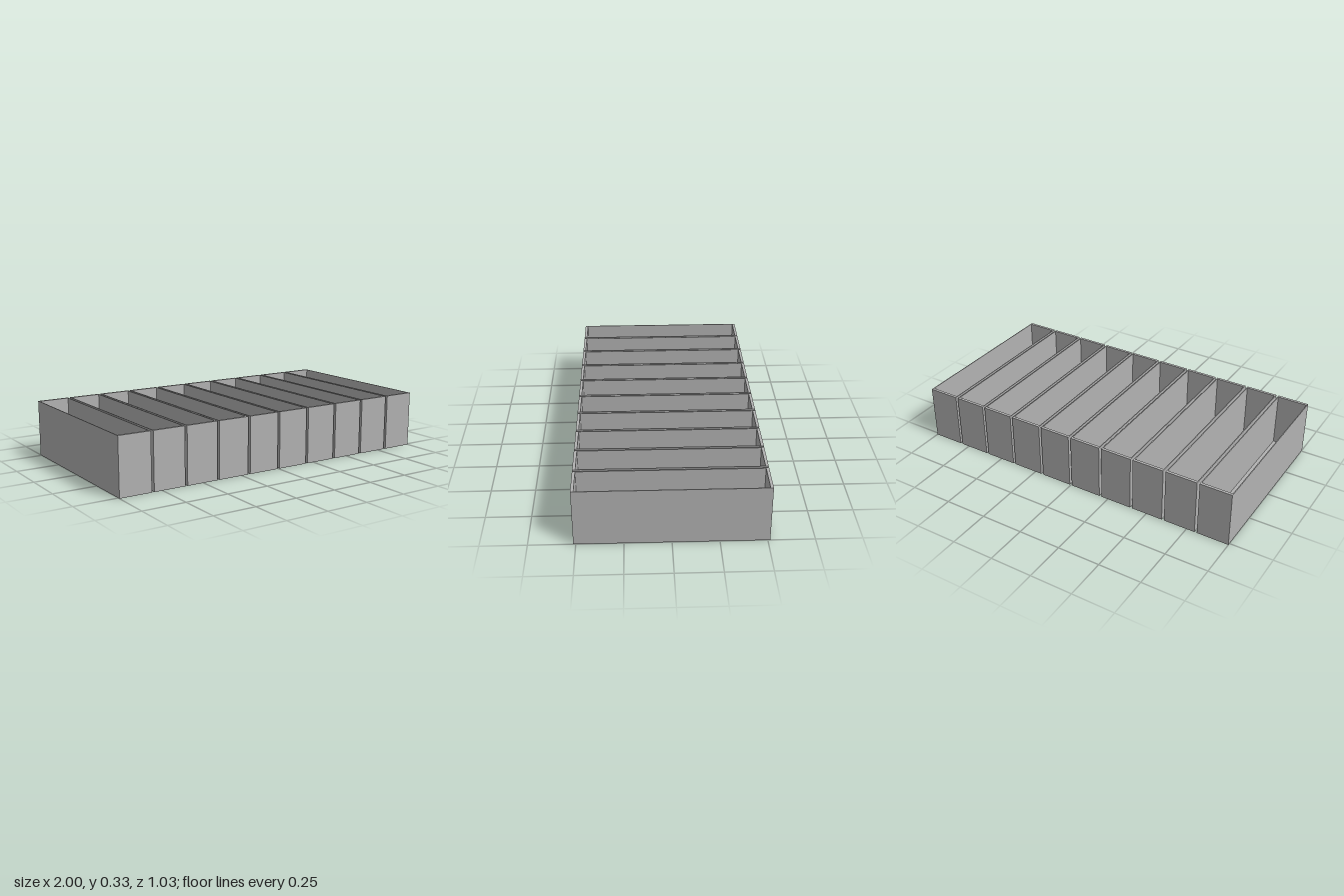
import * as THREE from 'three';

const COUNT = 10, PITCH = 0.2014, WIDTH = 0.187, HEIGHT = 0.328, DEPTH = 1.026;
const SIDE = 0.005, END = 0.016, FLOOR = 0.012;

export function createModel() {
  const grey = new THREE.MeshStandardMaterial({ color: 0xb2b2b2 });
  grey.name = 'grey';

  // Tray walls: a rectangular ring extruded upwards from the floor
  const ring = new THREE.Shape([
    new THREE.Vector2(-WIDTH / 2, -DEPTH / 2), new THREE.Vector2(WIDTH / 2, -DEPTH / 2),
    new THREE.Vector2(WIDTH / 2, DEPTH / 2), new THREE.Vector2(-WIDTH / 2, DEPTH / 2),
  ]);
  const ix = WIDTH / 2 - SIDE, iz = DEPTH / 2 - END;
  ring.holes.push(new THREE.Path([
    new THREE.Vector2(-ix, -iz), new THREE.Vector2(-ix, iz),
    new THREE.Vector2(ix, iz), new THREE.Vector2(ix, -iz),
  ]));
  const wallGeometry = new THREE.ExtrudeGeometry(ring, { depth: HEIGHT - FLOOR, bevelEnabled: false });
  wallGeometry.rotateX(-Math.PI / 2).translate(0, FLOOR, 0);

  // Tray floor
  const floorGeometry = new THREE.BoxGeometry(WIDTH, FLOOR, DEPTH).translate(0, FLOOR / 2, 0);

  // Row of identical open trays with narrow gaps
  const model = new THREE.Group();
  model.name = 'trayRow';
  for (let i = 0; i < COUNT; i++) {
    const tray = new THREE.Group();
    tray.name = `tray${i + 1}`;
    const walls = new THREE.Mesh(wallGeometry, grey);
    walls.name = 'trayWalls';
    const floor = new THREE.Mesh(floorGeometry, grey);
    floor.name = 'trayFloor';
    tray.add(walls, floor);
    tray.position.x = (i - (COUNT - 1) / 2) * PITCH;
    model.add(tray);
  }
  return model;
}
